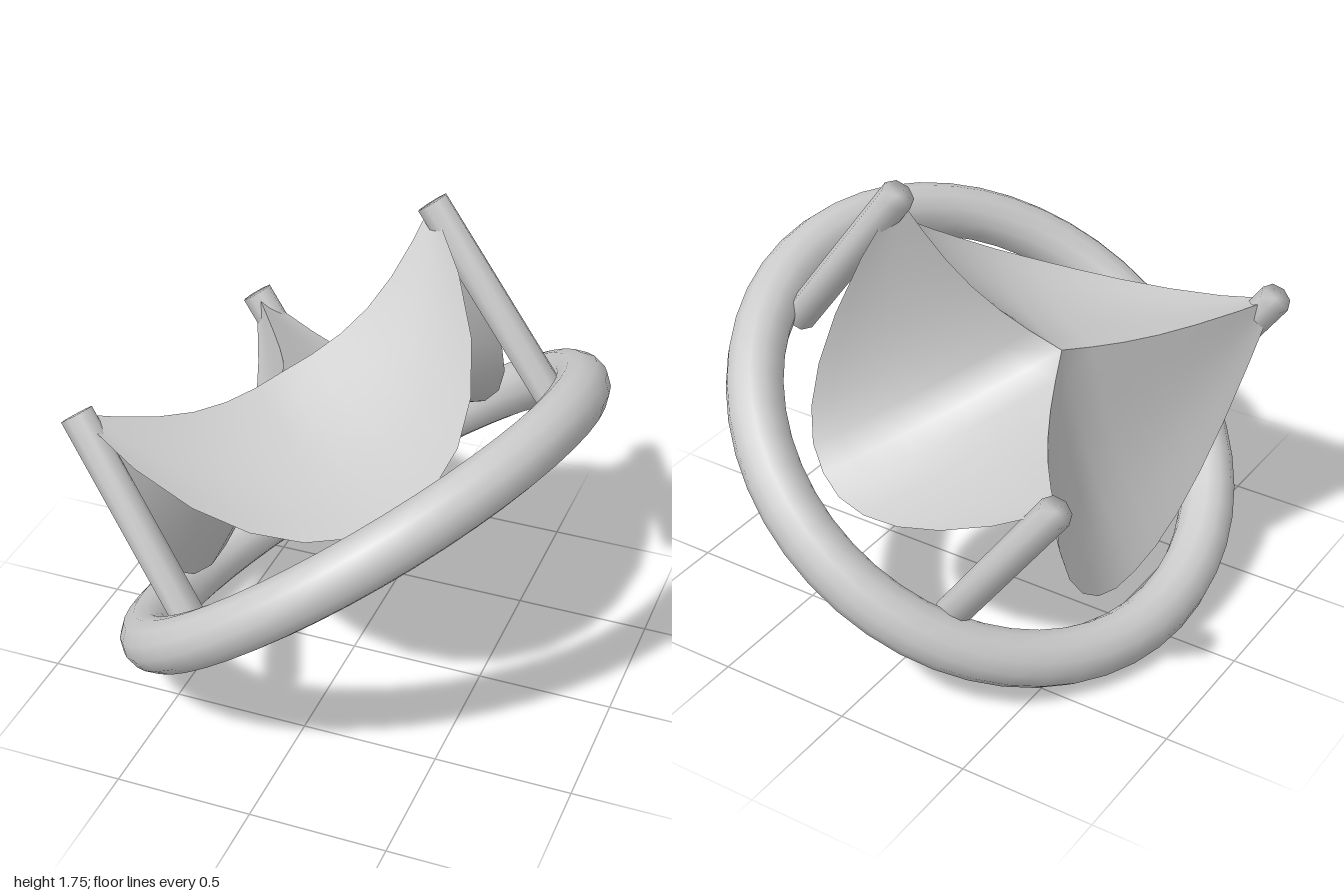
import * as THREE from 'three';
import { mergeVertices } from 'three/addons/utils/BufferGeometryUtils.js';

const V = (x, y, z) => new THREE.Vector3(x, y, z);
const material = new THREE.MeshStandardMaterial({ color: 0xcccccc });
const sheetMaterial = new THREE.MeshStandardMaterial({ color: 0xcccccc, side: THREE.DoubleSide });

// Tilted ring: centre and axis
const centre = V(0.032, 0.652, 0);
const axis = V(-0.594, 0.794, -0.13).normalize();

// Posts as [tip, base]
const posts = [
  [V(-0.81, 1.17, 0.54), V(-0.34, 0.52, 0.69)],
  [V(0.138, 1.71, -0.395), V(0.645, 1.06, -0.30)],
  [V(-0.71, 0.99, -0.775), V(-0.24, 0.335, -0.685)],
];

const LEAF_RADIUS = 0.745, LEAF_LOW = 0.03, MEET = 0.57;

// Point at a height along the axis, at a radius in a direction across it
const place = (dir, radius, height) =>
  centre.clone().addScaledVector(dir, radius).addScaledVector(axis, height);

// Post tip as direction, radius and height about the ring axis
function polar(tip) {
  const rel = tip.clone().sub(centre);
  const flat = rel.clone().projectOnPlane(axis);
  return { dir: flat.clone().normalize(), radius: flat.length(), height: rel.dot(axis), tip };
}

// Eight-sided rod, shaded smoothly over its ends
function makePost([tip, base]) {
  const rod = new THREE.CylinderGeometry(0.06, 0.06, tip.distanceTo(base), 8);
  rod.deleteAttribute('normal');
  rod.deleteAttribute('uv');
  const geo = mergeVertices(rod);
  geo.computeVertexNormals();
  const mesh = new THREE.Mesh(geo, material);
  mesh.position.copy(tip).add(base).multiplyScalar(0.5);
  mesh.quaternion.setFromUnitVectors(V(0, 1, 0), tip.clone().sub(base).normalize());
  return mesh;
}

// A leaflet hangs between two posts: scalloped outer edge, free edge meeting at the middle
function makeLeaflet(tipA, tipB) {
  const a = polar(tipA), b = polar(tipB);
  const angle = a.dir.angleTo(b.dir);
  const meet = place(axis, 0, MEET);
  const nu = 12, nv = 8;
  const geo = new THREE.PlaneGeometry(1, 1, nu, nv);
  const pos = geo.attributes.position;
  for (let j = 0; j <= nv; j++) {
    for (let i = 0; i <= nu; i++) {
      const u = i / nu, v = j / nv, s = Math.abs(2 * u - 1);
      const end = u < 0.5 ? a : b;
      const dir = a.dir.clone().multiplyScalar(Math.sin((1 - u) * angle) / Math.sin(angle))
        .addScaledVector(b.dir, Math.sin(u * angle) / Math.sin(angle));
      const outer = place(dir, THREE.MathUtils.lerp(LEAF_RADIUS, end.radius, s),
        THREE.MathUtils.lerp(LEAF_LOW, end.height, s * s));
      const free = meet.clone().lerp(end.tip, s).addScaledVector(axis, -0.08 * Math.sin(Math.PI * s));
      const p = free.lerp(outer, v)
        .addScaledVector(axis, -0.05 * Math.sin(Math.PI * v) * (1 - s * s));
      pos.setXYZ(j * (nu + 1) + i, p.x, p.y, p.z);
    }
  }
  geo.computeVertexNormals();
  return new THREE.Mesh(geo, sheetMaterial);
}

export function createModel() {
  const model = new THREE.Group();
  model.name = 'threeLeafValve';

  const ring = new THREE.Mesh(new THREE.TorusGeometry(0.907, 0.101, 12, 48), material);
  ring.name = 'ring';
  ring.position.copy(centre);
  ring.quaternion.setFromUnitVectors(V(0, 0, 1), axis);
  model.add(ring);

  posts.forEach((post, i) => {
    const mesh = makePost(post);
    mesh.name = `post${i + 1}`;
    model.add(mesh);
    const leaflet = makeLeaflet(post[0], posts[(i + 1) % 3][0]);
    leaflet.name = `leaflet${i + 1}`;
    model.add(leaflet);
  });
  return model;
}
